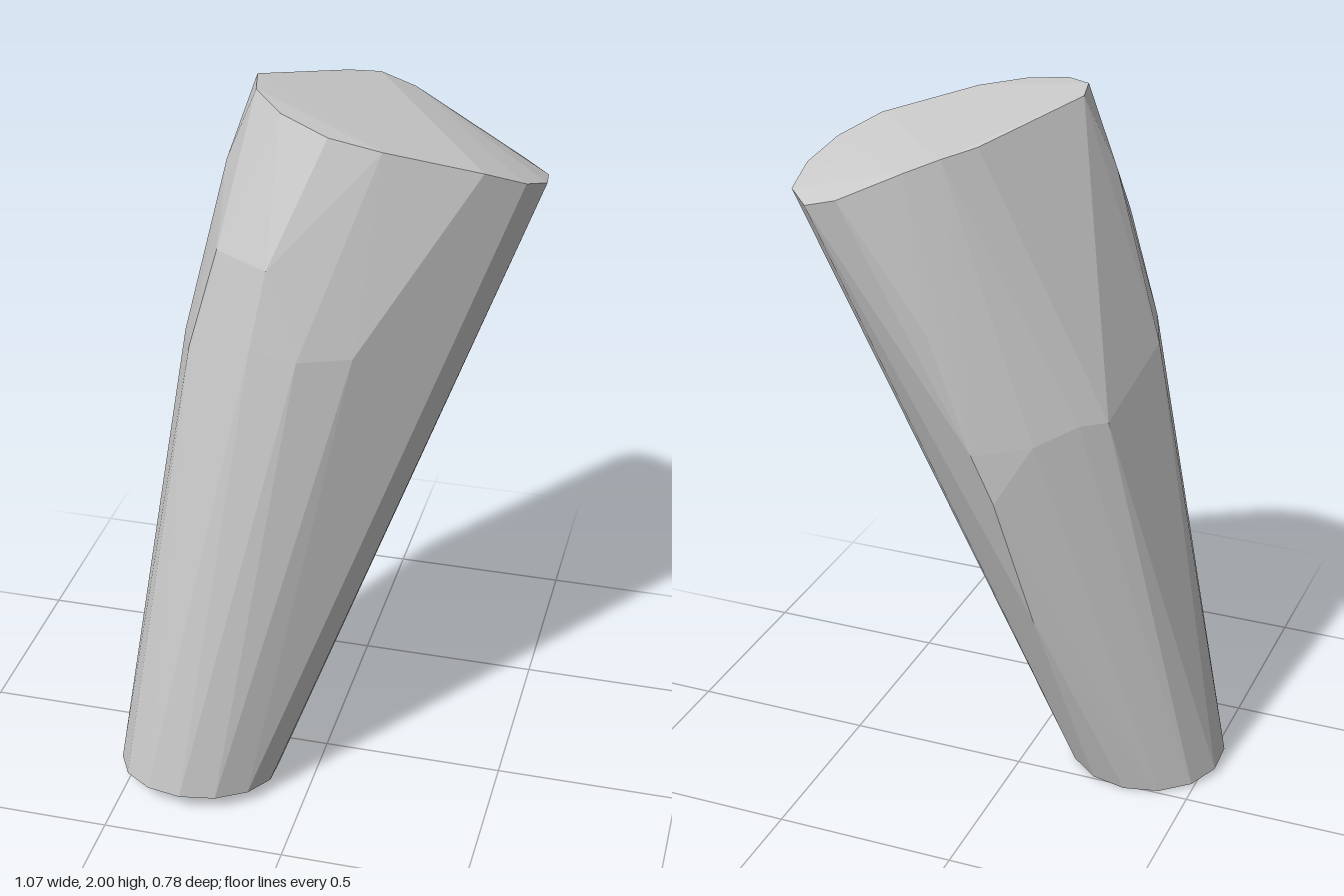
import * as THREE from 'three';
import { ConvexGeometry } from 'three/addons/geometries/ConvexGeometry.js';

export function createModel() {
  const group = new THREE.Group();
  group.name = 'limbSegment';

  // slanted upper end, one point per corner: x, y, z
  const upperEnd = [
    [-0.19, 2.0, -0.05], [-0.165, 2.0, 0.05], [-0.08, 1.98, 0.14], [0.05, 1.95, 0.19],
    [0.18, 1.92, 0.175], [0.41, 1.85, 0.08], [0.5, 1.8, 0], [0.535, 1.76, -0.11],
    [0.52, 1.73, -0.23], [0.435, 1.73, -0.33], [0.33, 1.77, -0.37], [0.14, 1.87, -0.39],
    [0.05, 1.91, -0.37], [-0.02, 1.93, -0.31],
  ];

  // swelling between the two ends
  const shoulder = [
    [-0.25, 1.8, 0.03], [-0.23, 1.63, 0.2], [-0.08, 1.63, 0.29], [-0.2, 1.8, 0.13],
  ];
  const frontBulge = [
    [0.13, 1.4, 0.255], [0, 1.4, 0.31], [-0.12, 1.42, 0.307], [-0.31, 1.35, 0.2], [-0.36, 1.33, 0.07],
  ];
  const backBulge = [
    [-0.31, 1.2, -0.17], [-0.25, 1.2, -0.22], [-0.15, 1.15, -0.28],
    [-0.05, 0.98, -0.3], [0, 1.12, -0.325], [0.1, 1.45, -0.36], [-0.12, 0.6, -0.2],
  ];

  // small tilted oval at the lower end
  const lowerEnd = [];
  const sides = 14;
  for (let i = 0; i < sides; i++) {
    const a = ((i + 0.5) / sides) * Math.PI * 2;
    const z = 0.19 + 0.203 * Math.sin(a);
    lowerEnd.push([-0.32 + 0.222 * Math.cos(a), Math.max(0, 0.125 * (z + 0.008)), z]);
  }

  const points = [...upperEnd, ...shoulder, ...frontBulge, ...backBulge, ...lowerEnd]
    .map((p) => new THREE.Vector3(...p));
  const limb = new THREE.Mesh(
    new ConvexGeometry(points),
    new THREE.MeshStandardMaterial({ color: 0xcccccc, flatShading: true })
  );
  limb.name = 'taperedLimb';
  group.add(limb);
  return group;
}
